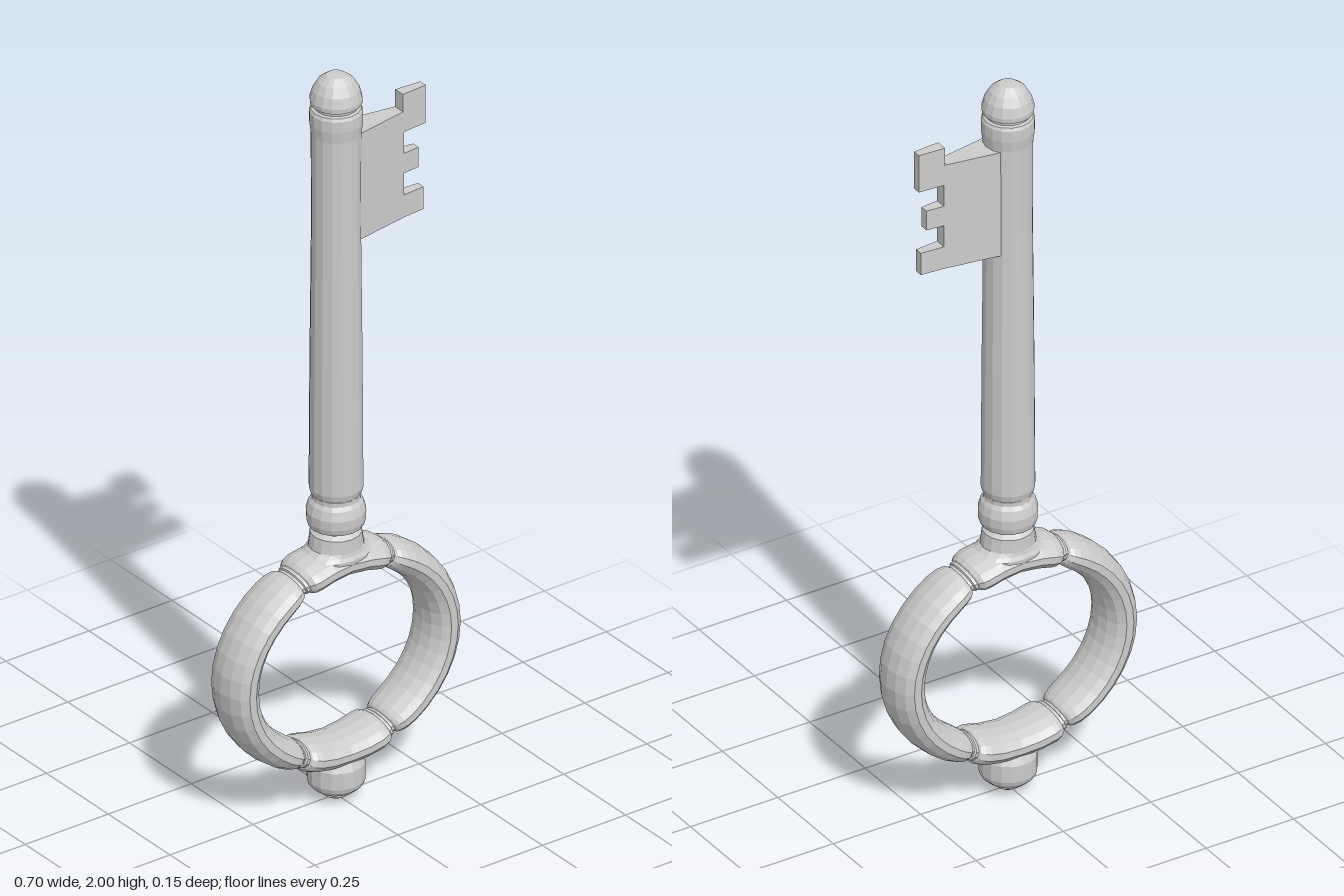
import * as THREE from 'three';

const material = new THREE.MeshStandardMaterial({ color: 0xcccccc, flatShading: true });

function part(name, geometry) {
  const mesh = new THREE.Mesh(geometry, material);
  mesh.name = name;
  return mesh;
}

// Turned part from [radius, height] pairs, listed bottom to top
function turned(name, profile, sides = 16) {
  const points = profile.map(([r, y]) => new THREE.Vector2(r, y));
  return part(name, new THREE.LatheGeometry(points, sides));
}

// Oval loop of elliptical section; the section shrinks at four grooves
function bowGeometry() {
  const A = 0.304, B = 0.263, SIDES = 14;
  // Quarter turn: [angle in degrees, section scale]
  const quarter = [[0, 1], [9, 1], [18, 1], [27, 1], [36, 1], [45, 1], [53, 0.99], [58, 0.95], [61, 0.88],
    [62.5, 0.8], [63.2, 0.7], [64.5, 0.7], [65, 0.78], [66.5, 0.78], [67, 0.86], [69, 0.97], [72, 1.02], [80, 1], [90, 0.97]];
  const half = [...quarter, ...quarter.slice(0, -1).reverse().map(([d, s]) => [180 - d, s])];
  const stations = [...half, ...half.slice(1, -1).map(([d, s]) => [d + 180, s])];
  const positions = [], index = [];
  stations.forEach(([deg, s], i) => {
    const t = THREE.MathUtils.degToRad(deg);
    const n = new THREE.Vector2(B * Math.cos(t), A * Math.sin(t)).normalize();
    const next = (i + 1) % stations.length;
    for (let j = 0; j < SIDES; j++) {
      const phi = (j / SIDES) * Math.PI * 2;
      const out = (0.045 - 0.005 * Math.sin(t) ** 2) * s * Math.cos(phi);
      positions.push(A * Math.cos(t) + n.x * out, B * Math.sin(t) + n.y * out, 0.075 * s * Math.sin(phi));
      const k = (j + 1) % SIDES;
      const a = i * SIDES + j, b = next * SIDES + j, c = next * SIDES + k, d = i * SIDES + k;
      index.push(a, b, c, a, c, d);
    }
  });
  const g = new THREE.BufferGeometry();
  g.setAttribute('position', new THREE.Float32BufferAttribute(positions, 3));
  g.setIndex(index);
  g.computeVertexNormals();
  return g;
}

// Block whose thickness tapers from x0 to x1
function wedge(name, x0, x1, y0, y1, z0, z1) {
  const g = new THREE.BoxGeometry(x1 - x0, y1 - y0, 2);
  g.translate((x0 + x1) / 2, (y0 + y1) / 2, 0);
  const p = g.attributes.position;
  for (let i = 0; i < p.count; i++) {
    const f = (p.getX(i) - x0) / (x1 - x0);
    p.setZ(i, p.getZ(i) * THREE.MathUtils.lerp(z0, z1, f));
  }
  g.computeVertexNormals();
  return part(name, g);
}

export function createModel() {
  const model = new THREE.Group();
  model.name = 'key';

  // Ring handle
  const bow = part('bow', bowGeometry());
  bow.position.y = 0.397;
  model.add(bow);

  // Knob under the ring
  model.add(turned('bottomKnob', [[0, 0], [0.022, 0], [0.034, 0.008], [0.036, 0.02], [0.054, 0.024],
    [0.068, 0.038], [0.072, 0.05], [0.072, 0.095], [0.064, 0.112], [0.05, 0.14]]));

  // Saddle joining ring and stem, spread sideways at its foot
  const saddle = turned('saddle', [[0.07, 0.655], [0.072, 0.68], [0.067, 0.69], [0.065, 0.7], [0.064, 0.735], [0.05, 0.745]]);
  const p = saddle.geometry.attributes.position;
  for (let i = 0; i < p.count; i++) {
    const spread = THREE.MathUtils.clamp((0.705 - p.getY(i)) / 0.035, 0, 1);
    p.setX(i, p.getX(i) * (1 + 0.6 * spread));
  }
  saddle.geometry.computeVertexNormals();
  model.add(saddle);

  // Neck bead
  model.add(turned('neckBead', [[0.05, 0.735], [0.052, 0.75], [0.068, 0.754], [0.073, 0.77], [0.074, 0.795],
    [0.067, 0.818], [0.06, 0.828], [0.06, 0.84], [0.05, 0.85]]));

  // Long stem
  model.add(turned('stem', [[0.05, 0.838], [0.062, 0.842], [0.067, 0.86], [0.065, 1.2], [0.061, 1.6],
    [0.062, 1.84], [0.066, 1.87], [0.066, 1.9], [0.062, 1.908], [0.05, 1.912]]));

  // Domed tip
  model.add(turned('tip', [[0.054, 1.905], [0.055, 1.918], [0.064, 1.922], [0.065, 1.935], [0.058, 1.96],
    [0.045, 1.982], [0.024, 1.998], [0, 2]]));

  // Bit: tapered blade with three teeth
  const bit = new THREE.Group();
  bit.name = 'bit';
  bit.add(wedge('blade', 0.04, 0.193, 1.543, 1.837, 0.041, 0.016));
  [[0.262, 1.78, 1.885], [0.24, 1.665, 1.72], [0.256, 1.543, 1.605]].forEach(([x1, y0, y1], i) => {
    bit.add(wedge(`tooth${i + 1}`, 0.19, x1, y0, y1, 0.016, 0.011));
  });
  model.add(bit);

  return model;
}
